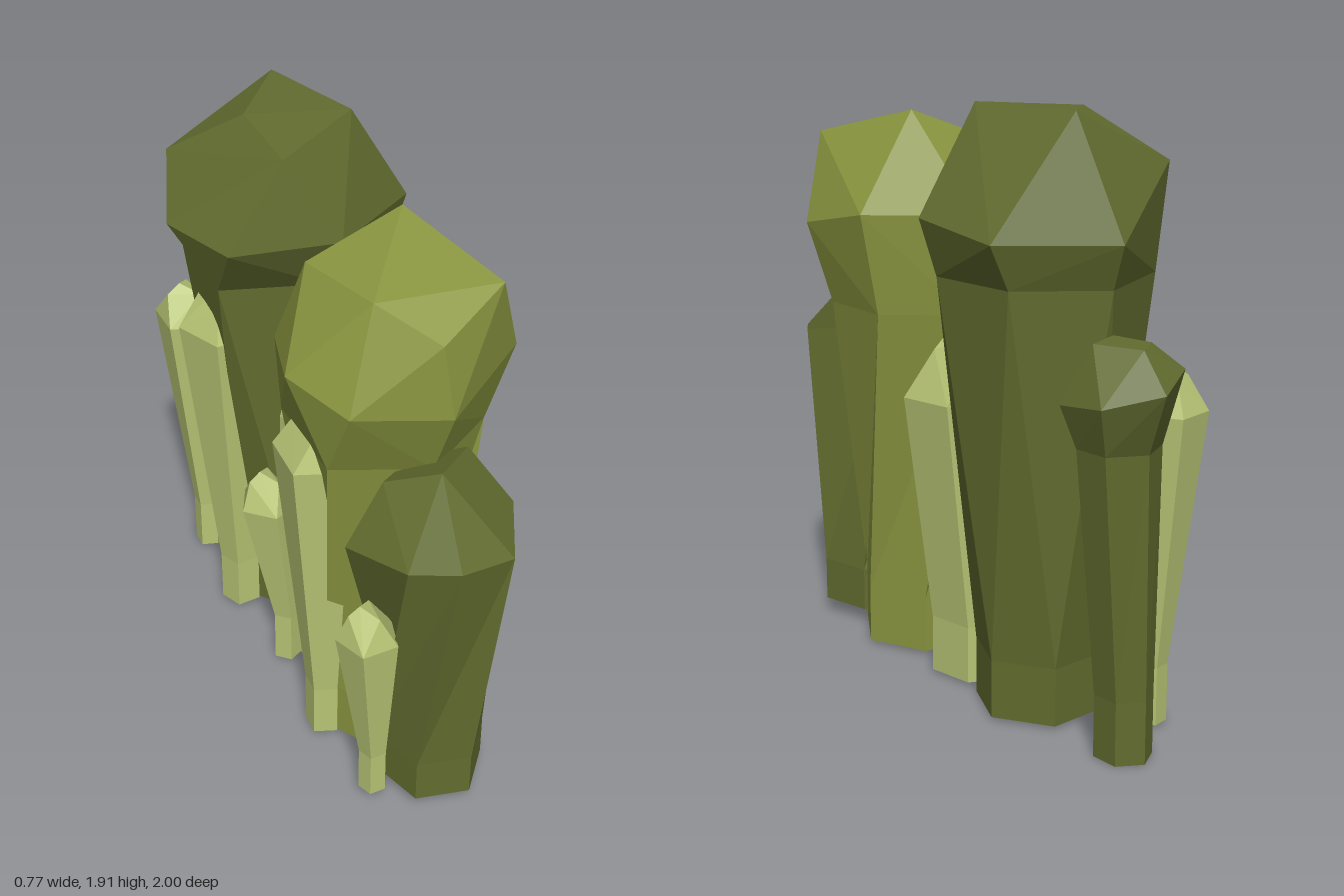
import * as THREE from 'three';
import { ConvexGeometry } from 'three/addons/geometries/ConvexGeometry.js';

const material = (name, color) => {
  const m = new THREE.MeshStandardMaterial({ color, side: THREE.DoubleSide });
  m.name = name;
  return m;
};

const toVectors = (points) => points.map((p) => new THREE.Vector3(...p));

// One horizontal ring: [y, centre x, centre z, radius x, radius z]
function ring([y, cx, cz, rx, rz], sides, phase) {
  return Array.from({ length: sides }, (_, i) => {
    const a = phase + (i / sides) * Math.PI * 2;
    return new THREE.Vector3(cx + Math.sin(a) * rx, y, cz + Math.cos(a) * rz);
  });
}

function flatGeometry(pos) {
  const g = new THREE.BufferGeometry();
  g.setAttribute('position', new THREE.Float32BufferAttribute(pos, 3));
  g.computeVertexNormals();
  return g;
}

// Faceted shaft through the rings, open underneath
function shaftGeometry(rings) {
  const pos = [];
  const tri = (...pts) => pts.forEach((p) => pos.push(p.x, p.y, p.z));
  const n = rings[0].length;
  for (let k = 0; k < rings.length - 1; k++) {
    for (let i = 0; i < n; i++) {
      const j = (i + 1) % n;
      const [a, b, c, d] = [rings[k][i], rings[k][j], rings[k + 1][j], rings[k + 1][i]];
      tri(a, b, c);
      tri(a, c, d);
    }
  }
  return flatGeometry(pos);
}

// Convex faceted cap without the hidden floor over the neck
function capGeometry(points) {
  const hull = new ConvexGeometry(points);
  const { position, normal } = hull.attributes;
  const pos = [];
  for (let i = 0; i < position.count; i++) {
    if (normal.getY(i) > -0.9) pos.push(position.getX(i), position.getY(i), position.getZ(i));
  }
  return flatGeometry(pos);
}

// Straight foot, widening shaft up to the neck ring, then the cap
function stalk(name, mat, phase, foot, neck, capPoints) {
  const group = new THREE.Group();
  group.name = name;
  const base = ring(foot, neck.length, phase);
  const bend = ring([0.2, ...foot.slice(1)], neck.length, phase);
  const shaft = new THREE.Mesh(shaftGeometry([base, bend, neck]), mat);
  shaft.name = name + 'Shaft';
  const cap = new THREE.Mesh(capGeometry([...neck, ...toVectors(capPoints)]), mat);
  cap.name = name + 'Cap';
  group.add(shaft, cap);
  return group;
}

export function createModel() {
  const dark = material('darkOlive', 0x626c2f);
  const mid = material('olive', 0x89953f);
  const pale = material('paleGreen', 0xb7c474);
  const model = new THREE.Group();
  model.name = 'stalkCluster';

  // Front stalk with a blunt pointed top
  model.add(stalk('frontStalk', dark, -0.75, [0.05, 0.02, 0.735, 0.175, 0.19],
    toVectors([[-0.05, 1.06, 1], [0.14, 1.03, 0.97], [0.25, 1.06, 0.77],
      [0.03, 1.08, 0.58], [-0.26, 1, 0.68], [-0.17, 1.03, 0.9]]),
    [[-0.02, 1.28, 0.81], [0.15, 1.22, 0.66], [-0.14, 1.2, 0.68], [0.0, 1.18, 0.59]]));

  // Tall middle stalk with a bulging head
  model.add(stalk('middleStalk', mid, Math.PI / 6, [0.01, 0.015, 0.415, 0.205, 0.225],
    toVectors([[0.28, 1.2, 0.53], [0.27, 1.2, 0.25], [0.03, 1.2, 0.07],
      [-0.25, 1.2, 0.22], [-0.26, 1.2, 0.56], [0.02, 1.2, 0.69]]),
    [[0.03, 1.53, 0.04], [0.33, 1.53, 0.25], [0.35, 1.47, 0.57], [0.24, 1.76, 0.66],
      [0.03, 1.43, 0.78], [0, 1.67, 0.755], [-0.14, 1.76, 0.6], [-0.35, 1.5, 0.47],
      [-0.25, 1.45, 0.68], [-0.2, 1.74, 0.29], [0.11, 1.85, 0.29], [-0.26, 1.45, 0.2]]));

  // Tallest stalk with a broad flat-topped head
  model.add(stalk('tallStalk', dark, 0.66, [0.01, 0.04, -0.33, 0.2, 0.215],
    toVectors([[0.04, 1.4, -0.07], [0.33, 1.4, -0.2], [0.29, 1.4, -0.52],
      [0.03, 1.4, -0.68], [-0.27, 1.4, -0.5], [-0.28, 1.4, -0.18]]),
    [[0.05, 1.6, 0.03], [0.385, 1.58, -0.19], [0.36, 1.54, -0.53], [0.04, 1.54, -0.74],
      [-0.3, 1.74, -0.52], [-0.39, 1.6, -0.31], [-0.3, 1.6, -0.04], [-0.11, 1.88, -0.05],
      [-0.11, 1.9, -0.34], [0.19, 1.915, -0.2], [0.09, 1.91, -0.57]]));

  // Slim back stalk with a knobbly head
  model.add(stalk('backStalk', dark, 0.1, [0, 0.05, -0.785, 0.09, 0.095],
    ring([0.97, 0.09, -0.795, 0.13, 0.12], 6, 0.1),
    [[0.09, 1.16, -1], [0.24, 1.12, -0.9], [0.25, 1.1, -0.72], [0.12, 1.12, -0.61],
      [-0.08, 1.1, -0.71], [-0.1, 1.15, -0.82], [-0.06, 1.2, -0.9], [0.06, 1.28, -0.72],
      [0.18, 1.28, -0.78], [0.1, 1.275, -0.91], [0.0, 1.27, -0.82]]));

  // Wide pale stalk between the two tall ones
  model.add(stalk('palePillar', pale, 0.2, [0.01, 0.02, 0.02, 0.17, 0.165],
    ring([0.96, 0.07, 0.02, 0.22, 0.19], 6, 0.2),
    [[0.04, 1.24, 0.06], [0.12, 1.17, -0.13], [-0.05, 1.17, -0.1],
      [0.2, 1.12, 0.02], [0.08, 1.06, 0.17], [-0.08, 1.08, 0.12]]));

  // Small pale stalks leaning out: [base y, base x, base z, top x, top z, height, base radius, top radius]
  const shoots = [
    [0.01, -0.165, -0.65, -0.195, -0.67, 1.14, 0.05, 0.12],
    [0.01, -0.18, -0.31, -0.2, -0.335, 1.3, 0.07, 0.15],
    [0.01, -0.16, 0.04, -0.215, 0.03, 0.82, 0.05, 0.1],
    [0.01, -0.19, 0.4, -0.2, 0.39, 1.27, 0.065, 0.15],
    [0.04, -0.19, 0.75, -0.22, 0.76, 0.83, 0.045, 0.1],
  ];
  shoots.forEach(([y, x, z, tx, tz, h, r, tr], i) => {
    const phase = 0.3 + i * 0.4;
    const crown = ring([h - 0.03, tx - 0.01, tz, tr * 0.55, tr * 0.55], 3, 0.6 + i);
    model.add(stalk('shoot' + (i + 1), pale, phase, [y, x, z, r, r],
      ring([h - 0.13, tx, tz, tr, tr], 5, phase),
      [...crown.map((p) => p.toArray()), [tx - 0.03, h, tz]]));
  });
  return model;
}
